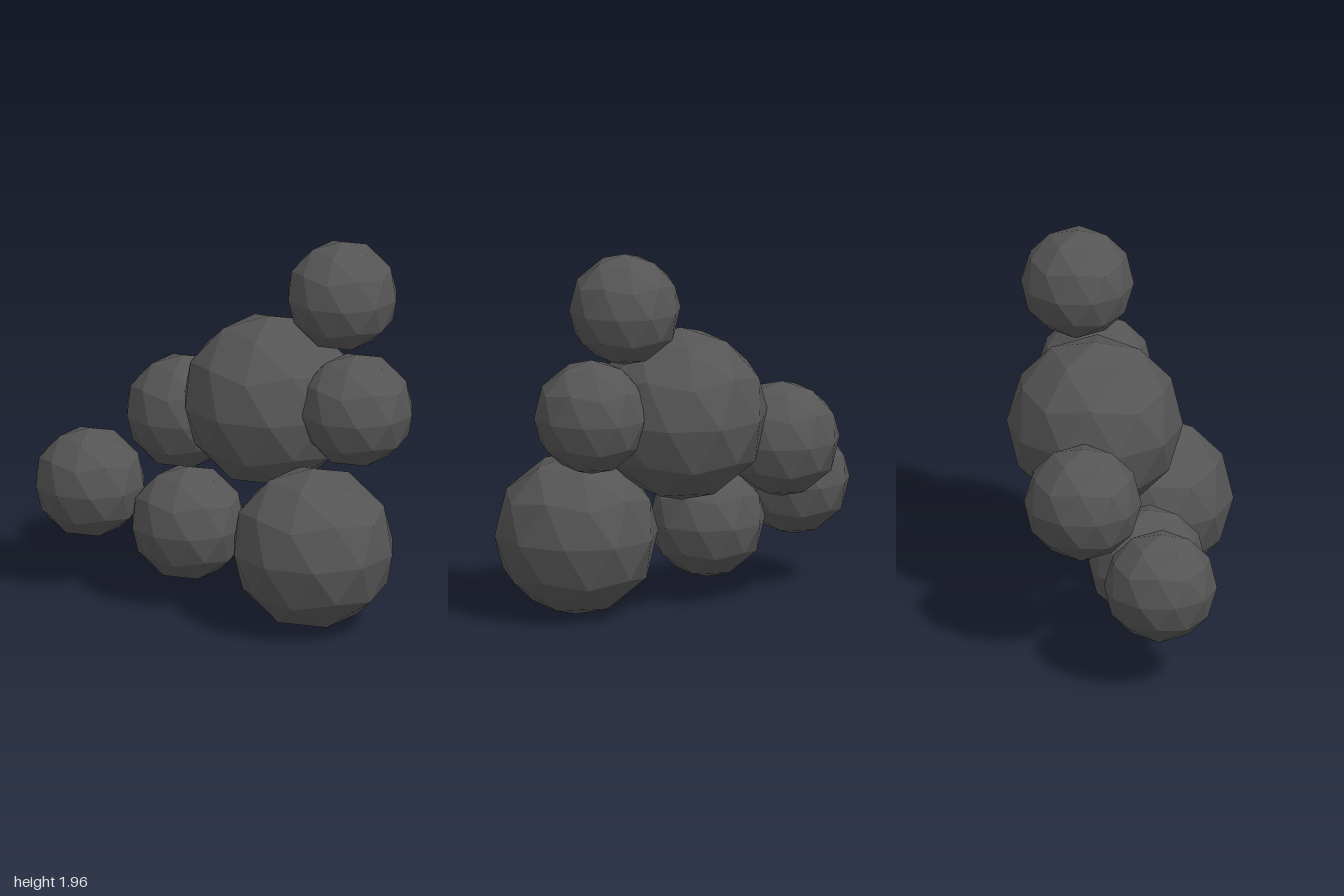
import * as THREE from 'three';

export function createModel() {
  const group = new THREE.Group();
  group.name = 'ballCluster';

  const charcoal = new THREE.MeshStandardMaterial({ color: 0x555555 });
  charcoal.name = 'charcoal';
  charcoal.flatShading = true;

  // Faceted unit ball, turned so that one corner points straight up
  const ball = new THREE.IcosahedronGeometry(1, 1);
  ball.rotateZ(-Math.atan(2 / (1 + Math.sqrt(5))));
  ball.computeVertexNormals();

  // name, x, y, z, radius
  const balls = [
    ['topBall', 0.51, 1.67, -0.227, 0.29],
    ['upperLeftBall', 0.66, 1.105, -0.145, 0.298],
    ['centreBall', 0.13, 1.06, -0.117, 0.452],
    ['lowerLeftBall', 0.595, 0.43, 0.142, 0.425],
    ['upperRightBall', -0.437, 0.875, -0.147, 0.301],
    ['farRightBall', -0.724, 0.55, 0.267, 0.29],
    ['lowerMiddleBall', -0.173, 0.415, 0.17, 0.301],
  ];

  for (const [name, x, y, z, radius] of balls) {
    const mesh = new THREE.Mesh(ball, charcoal);
    mesh.name = name;
    mesh.position.set(x, y, z);
    mesh.scale.setScalar(radius);
    group.add(mesh);
  }
  return group;
}
